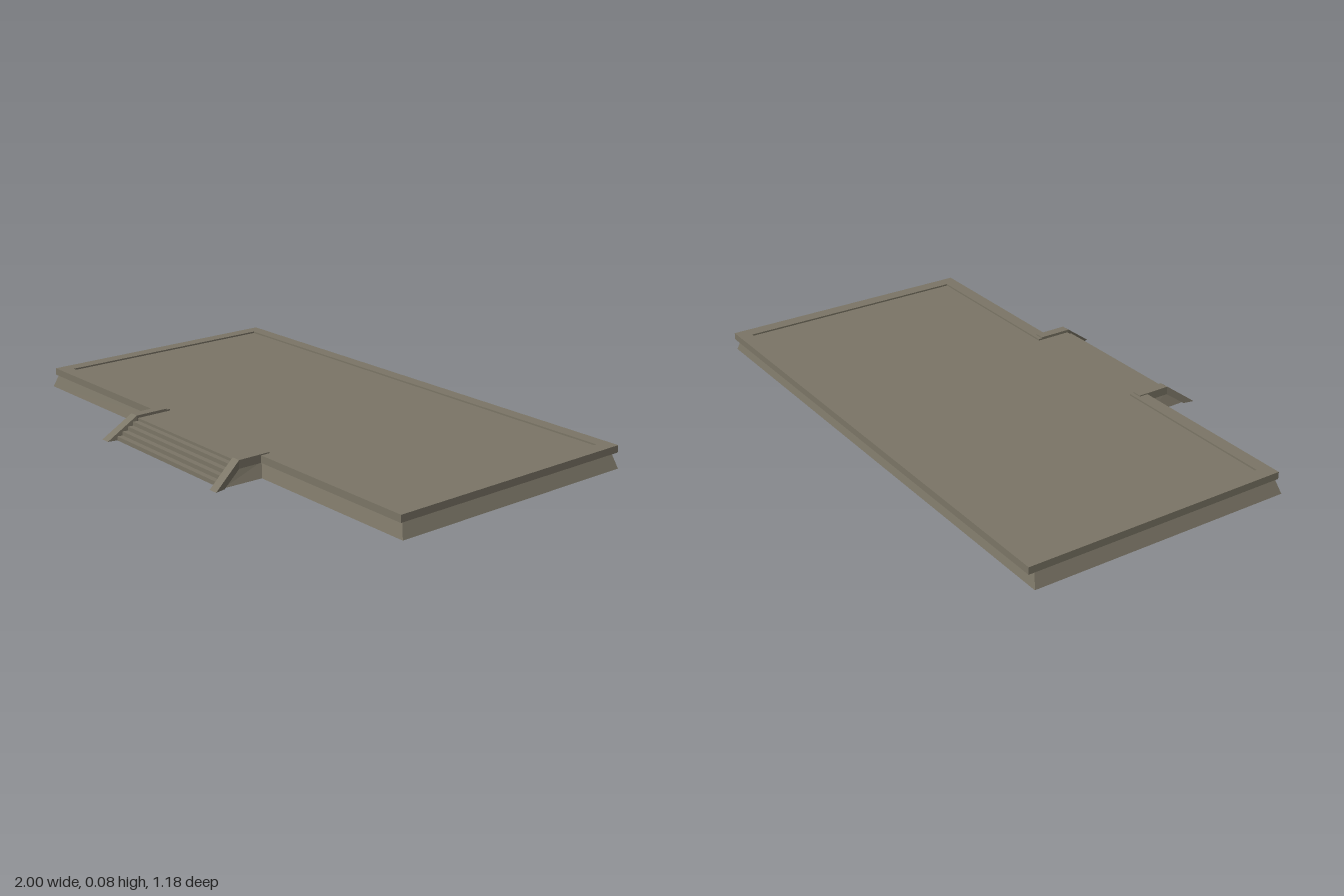
import * as THREE from 'three';

const stone = new THREE.MeshStandardMaterial({ color: 0x7b7566, side: THREE.DoubleSide, flatShading: true });
stone.name = 'weathered stone';

// Completes the +x half of an outline with its mirror image
const mirrorFirst = (half) => [...half.map(([x, ...rest]) => [-x, ...rest]).reverse(), ...half];

// Flat slab from an [x, z] outline, between two heights
function slab(outline, y0, y1) {
  const shape = new THREE.Shape(outline.map(([x, z]) => new THREE.Vector2(x, -z)));
  const geo = new THREE.ExtrudeGeometry(shape, { depth: y1 - y0, bevelEnabled: false });
  return geo.rotateX(-Math.PI / 2).translate(0, y0, 0);
}

// Thin sheet joining two point rows of equal length
function sheet(a, b) {
  const pos = [];
  for (let i = 0; i < a.length - 1; i++) {
    pos.push(...a[i], ...a[i + 1], ...b[i + 1], ...a[i], ...b[i + 1], ...b[i]);
  }
  const geo = new THREE.BufferGeometry();
  geo.setAttribute('position', new THREE.Float32BufferAttribute(pos, 3));
  geo.computeVertexNormals();
  return geo;
}

// Sloping stair rail that splays outward beyond the porch
function railGeometry(side) {
  const profile = [[0.36, 0.05], [0.555 - 0.07, 0.05], [0.555, 0], [0.595, 0], [0.485, 0.08], [0.36, 0.08]];
  const shape = new THREE.Shape(profile.map(([z, y]) => new THREE.Vector2(-z, y)));
  const geo = new THREE.ExtrudeGeometry(shape, { depth: 0.035, bevelEnabled: false });
  geo.rotateY(Math.PI / 2).translate(side > 0 ? 0.28 : -0.315, 0, 0);
  const p = geo.attributes.position;
  for (let i = 0; i < p.count; i++) {
    p.setX(i, p.getX(i) + side * Math.max(0, p.getZ(i) - 0.485) * 0.2);
  }
  geo.computeVertexNormals();
  return geo;
}

export function createModel() {
  const model = new THREE.Group();
  model.name = 'platform';
  const add = (name, geo) => {
    const mesh = new THREE.Mesh(geo, stone);
    mesh.name = name;
    model.add(mesh);
  };

  // Floor with porch tongue, slightly below the rim
  add('floor', slab(mirrorFirst([[0.945, -0.55], [0.945, 0.355], [0.29, 0.355], [0.29, 0.48]]), 0.064, 0.07));

  // Raised rim, open at the porch
  add('rim', slab(mirrorFirst([
    [0.985, -0.59], [0.985, 0.395], [0.28, 0.395], [0.28, 0.345], [0.935, 0.345], [0.935, -0.54],
  ].reverse()).reverse(), 0.05, 0.076));

  // Skirt flaring outward to the ground, hollow beneath
  add('skirt', sheet(
    mirrorFirst([[0.98, 0.05, -0.565], [0.98, 0.05, 0.385], [0.305, 0.05, 0.385], [0.305, 0.05, 0.485]]),
    mirrorFirst([[1, 0, -0.578], [1, 0, 0.4], [0.325, 0, 0.4], [0.32, 0, 0.555]]),
  ));

  // Steps as one folded sheet, widening downward
  const count = 5, rise = 0.015, tread = 0.02;
  const right = [[-0.285, 0.07, 0.48]];
  for (let i = 1; i <= count; i++) {
    const z = 0.48 + (i - 1) * tread;
    const x = -0.285 - (z - 0.48) * 0.2;
    right.push([x, (count - i) * rise, z]);
    if (i < count) right.push([x - tread * 0.2, (count - i) * rise, z + tread]);
  }
  add('steps', sheet(right, right.map(([x, y, z]) => [-x, y, z])));

  // Rails either side of the steps
  add('leftRail', railGeometry(1));
  add('rightRail', railGeometry(-1));

  return model;
}
